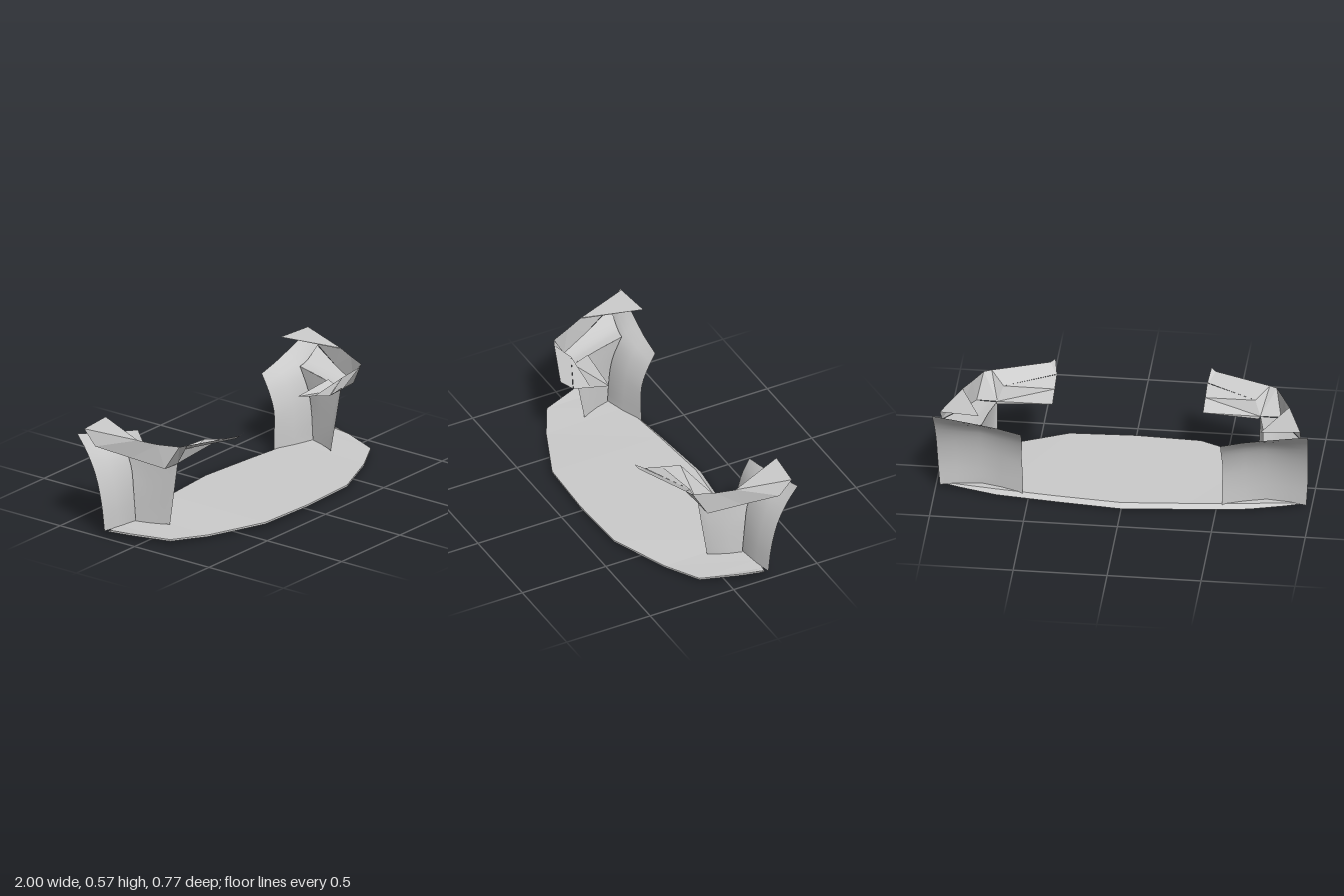
import * as THREE from 'three';

const material = new THREE.MeshStandardMaterial({ color: 0xcccccc, side: THREE.DoubleSide });
const flatMaterial = material.clone();
flatMaterial.flatShading = true;

// Skins a list of equally long point rows into one sheet; side mirrors it in x.
function sheet(name, rows, side = 1, flat = true, closed = false) {
  const n = rows[0].length, index = [];
  for (let i = 0; i < rows.length - 1; i++) {
    for (let j = 0; j < (closed ? n : n - 1); j++) {
      const k = (j + 1) % n;
      const a = i * n + j, b = i * n + k, c = a + n, d = b + n;
      index.push(a, c, b, b, c, d);
    }
  }
  const points = rows.flat().flatMap(([x, y, z]) => [x * side, y, z]);
  const geometry = new THREE.BufferGeometry();
  geometry.setAttribute('position', new THREE.Float32BufferAttribute(points, 3));
  geometry.setIndex(index);
  geometry.computeVertexNormals();
  const mesh = new THREE.Mesh(geometry, flat ? flatMaterial : material);
  mesh.name = name;
  return mesh;
}

// Smooth curve through a few points, sampled evenly along its parameter.
const smooth = (points, n) =>
  new THREE.CatmullRomCurve3(points.map(p => new THREE.Vector3(...p))).getPoints(n).map(p => p.toArray());

function basePlate() {
  // x, top rear z, bottom rear z, front z, underside middle y, underside rear y, front bottom y
  const half = [
    [0, -0.305, -0.335, 0.385, 0.006, 0.012, 0.021],
    [0.35, -0.275, -0.3, 0.37, 0.004, 0.011, 0.021],
    [0.67, -0.24, -0.262, 0.235, 0.002, 0.01, 0.014],
    [0.86, -0.215, -0.225, 0.13, 0.018, 0.02, 0.02],
    [0.94, -0.205, -0.21, -0.08, 0.027, 0.028, 0.028],
    [0.97, -0.2, -0.203, -0.19, 0.031, 0.031, 0.031],
  ];
  const section = ([x, tr, br, f, my, ry, fy], s) => [
    [s * x, 0.033, tr], [s * x, fy + 0.01, f], [s * x, fy, f],
    [s * x, my, Math.min(-0.02, (f + br) / 2)], [s * x, ry, br],
  ];
  const rows = [
    ...half.slice(1).reverse().map(h => section(h, -1)),
    ...half.map(h => section(h, 1)),
  ];
  return sheet('basePlate', rows, 1, true, true);
}

function endAssembly(side) {
  const group = new THREE.Group();
  group.name = side > 0 ? 'leftEnd' : 'rightEnd';

  // Rear panel, bowed in plan and sweeping backwards towards the top
  const columns = [
    smooth([[0.53, 0.012, -0.262], [0.53, 0.14, -0.26], [0.535, 0.25, -0.267], [0.53, 0.36, -0.302], [0.53, 0.44, -0.345]], 12),
    smooth([[0.65, 0.025, -0.215], [0.65, 0.15, -0.22], [0.65, 0.28, -0.238], [0.65, 0.39, -0.278], [0.65, 0.47, -0.345]], 12),
    smooth([[0.76, 0.03, -0.185], [0.76, 0.17, -0.195], [0.76, 0.3, -0.218], [0.76, 0.41, -0.262], [0.76, 0.495, -0.355]], 12),
    smooth([[0.88, 0.03, -0.2], [0.885, 0.18, -0.21], [0.89, 0.32, -0.24], [0.89, 0.43, -0.29], [0.89, 0.525, -0.37]], 12),
    smooth([[0.975, 0.03, -0.222], [0.985, 0.19, -0.235], [0.99, 0.34, -0.27], [0.995, 0.46, -0.325], [1, 0.55, -0.385]], 12),
  ];
  group.add(sheet('rearPanel', columns, side, false));

  // Upright wall between the plate and the upper vane
  group.add(sheet('strut', [
    smooth([[0.69, 0.033, -0.005], [0.695, 0.21, 0.025], [0.7, 0.395, 0.055]], 8),
    smooth([[0.71, 0.033, -0.04], [0.715, 0.22, -0.01], [0.712, 0.398, 0.03]], 8),
    smooth([[0.74, 0.033, -0.11], [0.74, 0.22, -0.11], [0.735, 0.415, -0.12]], 8),
    smooth([[0.76, 0.033, -0.18], [0.762, 0.22, -0.195], [0.755, 0.32, -0.212], [0.75, 0.435, -0.26]], 8),
  ], side, false));

  // Curved trough joining the strut to the vane
  group.add(sheet('trough', [
    smooth([[0.7, 0.395, 0.055], [0.745, 0.393, 0.055], [0.81, 0.397, 0.055]], 6),
    smooth([[0.73, 0.415, -0.1], [0.79, 0.413, -0.11], [0.875, 0.437, -0.12]], 6),
    smooth([[0.75, 0.435, -0.26], [0.83, 0.44, -0.275], [0.95, 0.485, -0.3]], 6),
  ], side, false));

  // Vane wall wrapping from the rear corner round to the front tip
  group.add(sheet('vane', [
    [[0.96, 0.57, -0.37], [0.955, 0.485, -0.3]],
    [[0.87, 0.545, -0.08], [0.875, 0.437, -0.12]],
    [[0.83, 0.533, 0.02], [0.81, 0.397, 0.055]],
    [[0.78, 0.53, 0.13], [0.7, 0.395, 0.055]],
    [[0.74, 0.53, 0.15], [0.67, 0.475, 0.085]],
    [[0.44, 0.525, 0.272], [0.405, 0.485, 0.215]],
    [[0.415, 0.541, 0.282], [0.4, 0.485, 0.215]],
  ], side));

  // Flat inner blade running back from the vane's lower edge
  group.add(sheet('innerBlade', [
    [[0.7, 0.43, -0.03], [0.7, 0.395, 0.055], [0.67, 0.475, 0.085]],
    [[0.4, 0.43, 0], [0.4, 0.458, 0.11], [0.4, 0.485, 0.215]],
  ], side));

  // Triangular flap on the rear of the vane
  group.add(sheet('rearFlap', [
    [[0.96, 0.57, -0.37], [0.75, 0.57, -0.39]],
    [[0.87, 0.545, -0.08], [0.86, 0.542, -0.1]],
  ], side));
  return group;
}

export function createModel() {
  const model = new THREE.Group();
  model.name = 'wing';
  model.add(basePlate(), endAssembly(1), endAssembly(-1));
  return model;
}
